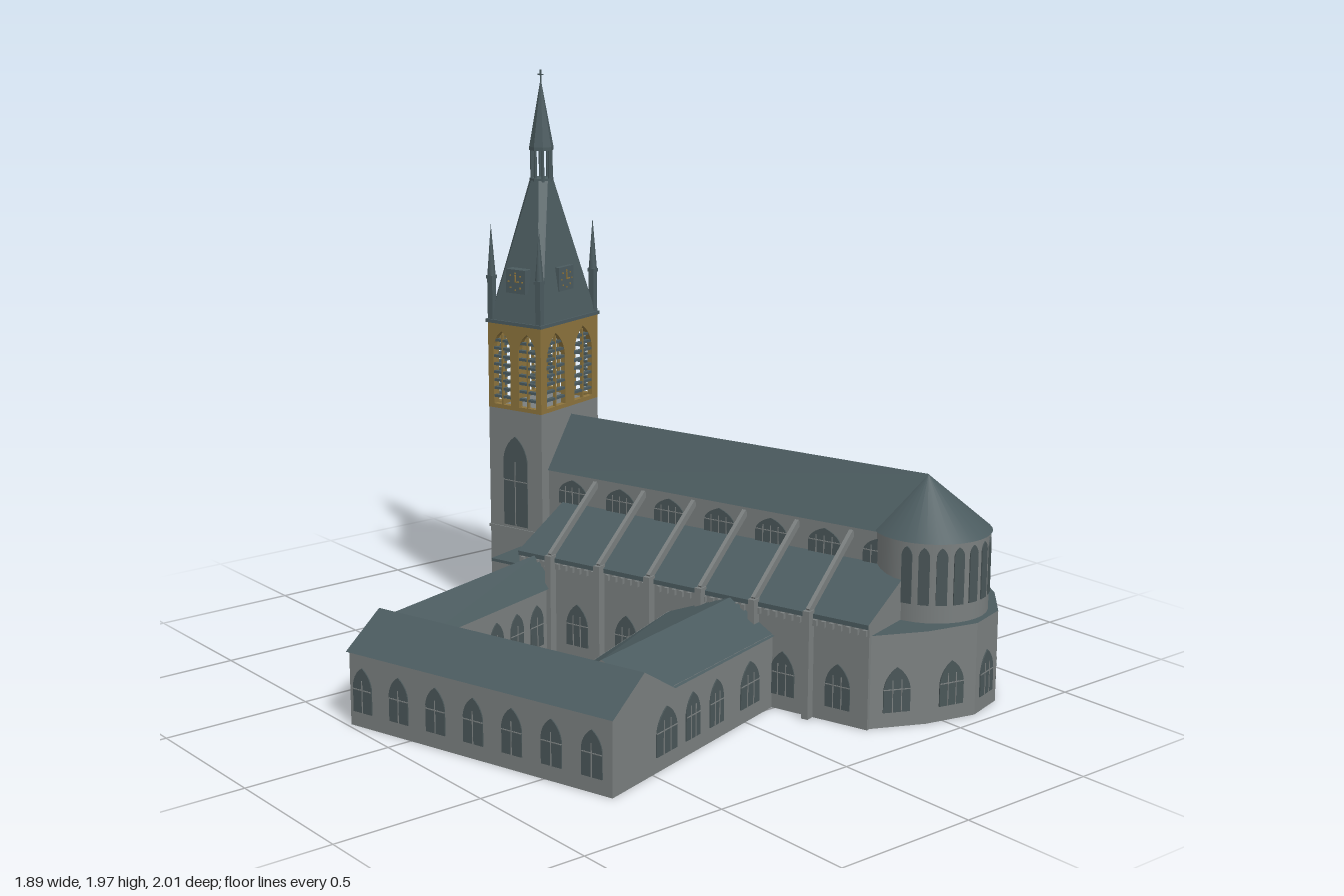
import * as THREE from 'three';

const mat = (name, color) => {
  const m = new THREE.MeshStandardMaterial({ color });
  m.name = name;
  return m;
};

export function createModel() {
  const stone = mat('stone', 0x7a7f7f), slate = mat('slate', 0x4b5b5f);
  const glass = mat('window glass', 0x4a5658), gold = mat('ochre stone', 0x8c733c);
  const root = new THREE.Group();
  root.name = 'church';
  // Local axes: x runs along the nave to the apse, z towards the cloister
  const church = new THREE.Group();
  church.name = 'churchAndCloister';
  church.rotation.y = 0.286;
  root.add(church);

  const add = (name, geo, m, x = 0, y = 0, z = 0, parent = church) => {
    const mesh = new THREE.Mesh(geo, m);
    mesh.name = name;
    mesh.position.set(x, y, z);
    parent.add(mesh);
    return mesh;
  };
  // Box given by its limits
  const block = (name, m, x0, x1, y0, y1, z0, z1, parent = church) =>
    add(name, new THREE.BoxGeometry(x1 - x0, y1 - y0, z1 - z0), m,
      (x0 + x1) / 2, (y0 + y1) / 2, (z0 + z1) / 2, parent);
  const poly = pts => new THREE.Shape(pts.map(p => new THREE.Vector2(...p)));
  const extrude = (shape, depth) =>
    new THREE.ExtrudeGeometry(shape, { depth, bevelEnabled: false, curveSegments: 5 });

  // Pointed arch outline, used for windows and openings
  const arch = (w, h, Type = THREE.Shape, x = 0, y = 0) => {
    const s = new Type(), r = w / 2, k = Math.max(h - w * 0.8, h * 0.5);
    s.moveTo(x - r, y);
    s.lineTo(x + r, y);
    s.lineTo(x + r, y + k);
    s.quadraticCurveTo(x + r * 0.85, y + k + (h - k) * 0.65, x, y + h);
    s.quadraticCurveTo(x - r * 0.85, y + k + (h - k) * 0.65, x - r, y + k);
    return s;
  };
  const windowAt = (x, y, z, angle, w, h, mullions = 1) => {
    const g = new THREE.Group();
    g.name = 'window';
    g.position.set(x, y, z);
    g.rotation.y = angle;
    church.add(g);
    add('pane', extrude(arch(w, h), 0.004), glass, 0, 0, 0, g);
    for (let i = 1; i <= mullions; i++) {
      const mx = w * (i / (mullions + 1) - 0.5);
      block('mullion', stone, mx - 0.0015, mx + 0.0015, 0, h * 0.72, 0, 0.006, g);
    }
    if (mullions) block('transom', stone, -w / 2, w / 2, h * 0.5, h * 0.5 + 0.003, 0, 0.006, g);
  };
  const E = Math.PI / 2, N = Math.PI, W = -E, S = 0;

  // Nave
  const C = -0.4, navH = 0.135, aisH = 0.391, x0 = -0.515, x1 = 0.868;
  block('naveWalls', stone, -0.577, 0.877, 0, 0.577, C - navH, C + navH);
  add('naveRoof', extrude(poly([[-0.142, 0.572], [0.142, 0.572], [0, 0.75]]), 1.435).rotateY(E),
    slate, -0.577, 0, C);

  // Aisles with lean-to roofs, clerestory, flying buttresses
  block('aisleWalls', stone, x0, x1, 0, 0.335, C - aisH, C + aisH);
  for (const s of [1, -1]) {
    const pts = [[-s * 0.13, 0.335], [-s * 0.397, 0.335], [-s * 0.397, 0.35], [-s * 0.13, 0.468]];
    add('aisleRoof', extrude(poly(pts), x1 - x0).rotateY(E), [stone, slate], x0, 0, C);
    const face = s > 0 ? S : N, wall = C + s * aisH;
    for (let i = 0; i < 7; i++) {
      const x = -0.471 + 0.205 * i;
      windowAt(x, 0.46, C + s * navH, face, 0.12, 0.09, 3);
      windowAt(x, 0.05, wall, face, 0.09, 0.15, 2);
    }
    // Corbels under the eaves
    for (let x = x0 + 0.02; x < x1; x += 0.03)
      add('corbel', new THREE.BoxGeometry(0.014, 0.02, 0.012), stone, x, 0.322, wall + s * 0.005);
    for (let i = 0; i < 6; i++) {
      const x = -0.369 + 0.205 * i, dz = 0.27, dy = 0.195;
      add('pier', new THREE.BoxGeometry(0.024, 0.362, 0.034), stone, x, 0.181, wall + s * 0.014);
      const f = add('flyingButtress', new THREE.BoxGeometry(0.014, 0.024, Math.hypot(dz, dy)),
        stone, x, 0.456, C + s * (navH + dz / 2));
      f.rotation.x = s * Math.atan2(dy, dz);
    }
  }

  // Ambulatory with its faceted outer wall
  const amb = [[0.86, C - 0.386], [0.994, -0.635], [1.085, -0.475], [1.085, -0.325],
    [0.994, -0.165], [0.86, C + 0.386]];
  add('ambulatory', extrude(poly(amb.map(([x, z]) => [x, -z])), 0.31).rotateX(-E), [slate, stone]);
  for (let i = 0; i < 5; i++) {
    const [a, b] = [amb[i], amb[i + 1]];
    windowAt((a[0] + b[0]) / 2, 0.05, (a[1] + b[1]) / 2,
      Math.atan2(b[1] - a[1], a[0] - b[0]), 0.09, 0.15, 2);
  }

  // Round apse
  add('apseWall', new THREE.CylinderGeometry(0.187, 0.187, 0.577, 32), stone, 0.877, 0.2885, C);
  const cone = new THREE.ConeGeometry(0.194, 0.175, 32);
  const cp = cone.attributes.position;
  for (let i = 0; i < cp.count; i++) if (cp.getY(i) > 0) cp.setX(i, cp.getX(i) - 0.02);
  add('apseRoof', cone, slate, 0.877, 0.6615, C);
  for (let i = 0; i < 11; i++) {
    const a = E + (i - 5) * 0.305;
    windowAt(0.877 + 0.186 * Math.sin(a), 0.37, C + 0.186 * Math.cos(a), a, 0.036, 0.19, 0);
  }

  // Low western annexes
  block('westPorch', stone, -0.6, x0, 0, 0.31, -0.62, -0.18);
  block('porchRoof', slate, -0.6, x0, 0.31, 0.318, -0.62, -0.18);
  block('annexWalls', stone, -0.615, -0.49, 0, 0.3, -0.145, 0.015);
  block('annexRoof', slate, -0.617, -0.488, 0.3, 0.31, -0.147, 0.017);

  // Cloister wings around an open court
  const gable = (w, eave, ridge, len) => extrude(poly([[-w / 2, eave], [w / 2, eave], [0, ridge]]), len);
  block('southWing', stone, -0.505, 0.515, 0, 0.25, 0.575, 0.88);
  add('southWingRoof', gable(0.325, 0.245, 0.345, 1.035).rotateY(E), [stone, slate], -0.512, 0, 0.726);
  block('westWing', stone, -0.515, -0.375, 0, 0.25, -0.02, 0.6);
  add('westWingRoof', gable(0.16, 0.245, 0.345, 0.76), [stone, slate], -0.445, 0, -0.03);
  // The east wing widens towards the church
  const skew = geo => {
    const p = geo.attributes.position;
    for (let i = 0; i < p.count; i++)
      if (p.getX(i) < -0.1) p.setX(i, p.getX(i) - 0.085 * (1 - p.getZ(i) / 0.62));
    geo.computeVertexNormals();
    return geo;
  };
  add('eastWing', skew(extrude(poly([[-0.16, 0], [0.16, 0], [0.16, 0.25], [-0.16, 0.25]]), 0.62)),
    stone, 0.355, 0, -0.02);
  add('eastWingRoof', skew(gable(0.335, 0.245, 0.345, 0.74)), [stone, slate], 0.355, 0, -0.03);
  for (let i = 0; i < 7; i++) windowAt(-0.452 + 0.149 * i, 0.05, 0.88, S, 0.076, 0.15, 1);
  for (let i = 0; i < 5; i++) {
    windowAt(-0.515, 0.05, 0.07 + 0.172 * i, W, 0.11, 0.15, 2);
    windowAt(-0.375, 0.05, 0.08 + 0.11 * i, E, 0.07, 0.15, 1);
    windowAt(-0.31 + 0.11 * i, 0.05, 0.575, N, 0.07, 0.15, 1);
    windowAt(0.128 + 0.015 * i, 0.05, 0.08 + 0.11 * i, W + 0.137, 0.07, 0.15, 1);
  }
  for (const [z, w] of [[0.128, 0.11], [0.323, 0.076], [0.457, 0.076], [0.6, 0.11]])
    windowAt(0.515, 0.05, z, E, w, 0.15, 2);

  // Tower shaft
  const tx = -0.694, tz = -0.393, hx = 0.117, hz = 0.169;
  block('towerShaft', stone, tx - hx, tx + hx, 0, 0.78, tz - hz, tz + hz);
  block('stringCourse', stone, tx - hx - 0.004, tx + hx + 0.004, 0.335, 0.345, tz - hz - 0.004, tz + hz + 0.004);
  for (const [x, z, a, w] of [[0, hz, S, 0.105], [0, -hz, N, 0.105], [-hx, 0, W, 0.14]]) {
    windowAt(tx + x, 0.355, tz + z, a, w, 0.33, 1);
    windowAt(tx + x, 0.04, tz + z, a, w * 1.15, 0.16, 1);
  }

  // Open belfry with louvres, and a clock dormer above each side
  for (const [a, half, out] of [[S, hx, hz], [N, hx, hz], [E, hz, hx], [W, hz, hx]]) {
    const side = new THREE.Group();
    side.name = 'belfrySide';
    side.position.set(tx, 0, tz);
    side.rotation.y = a;
    church.add(side);
    const w = half * 0.64, off = half * 0.48;
    const wall = poly([[-half, 0.78], [half, 0.78], [half, 1.09], [-half, 1.09]]);
    for (const s of [-1, 1]) {
      wall.holes.push(arch(w, 0.265, THREE.Path, s * off, 0.795));
      for (let i = 0; i < 8; i++)
        block('louvre', slate, s * off - w / 2, s * off + w / 2, 0.818 + i * 0.029,
          0.827 + i * 0.029, out - 0.018, out - 0.002, side);
      block('belfryMullion', gold, s * off - 0.003, s * off + 0.003, 0.79, 1.05, out - 0.012, out - 0.001, side);
    }
    add('belfryWall', extrude(wall, 0.02), gold, 0, 0, out - 0.02, side);
    block('clockDormer', slate, -0.042, 0.042, 1.2, 1.285, out - 0.09, out - 0.012, side);
    block('hourHand', gold, -0.002, 0.016, 1.24, 1.244, out - 0.012, out - 0.008, side);
    block('minuteHand', gold, -0.002, 0.002, 1.24, 1.266, out - 0.012, out - 0.008, side);
    for (let i = 0; i < 8; i++)
      add('hourMark', new THREE.BoxGeometry(0.005, 0.005, 0.004), gold,
        0.03 * Math.cos(i * E / 2), 1.242 + 0.03 * Math.sin(i * E / 2), out - 0.01, side);
  }
  block('towerCornice', slate, tx - hx - 0.006, tx + hx + 0.006, 1.088, 1.1, tz - hz - 0.006, tz + hz + 0.006);

  // Tapering roof: a rectangle drawn in to an octagon
  const oct = (a, b, c, y) => [[a, c - b], [a - c, -b], [c - a, -b], [-a, c - b],
    [-a, b - c], [c - a, b], [a - c, b], [a, b - c]].map(([x, z]) => [x, y, z]);
  const low = oct(hx, hz, 0.012, 1.1), high = oct(0.04, 0.04, 0.0234, 1.585), verts = [];
  for (let i = 0; i < 8; i++) {
    const j = (i + 1) % 8;
    verts.push(low[i], low[j], high[j], low[i], high[j], high[i]);
  }
  const broach = new THREE.BufferGeometry();
  broach.setAttribute('position', new THREE.Float32BufferAttribute(verts.flat(), 3));
  broach.computeVertexNormals();
  add('towerRoof', broach, slate, tx, 0, tz);

  // Lantern, spire and cross
  const ring = (name, r0, r1, y0, y1) => add(name,
    new THREE.CylinderGeometry(r1, r0, y1 - y0, 8).toNonIndexed(), slate, tx, (y0 + y1) / 2, tz)
    .geometry.computeVertexNormals();
  ring('lanternFloor', 0.043, 0.043, 1.58, 1.592);
  ring('lanternHead', 0.043, 0.043, 1.69, 1.702);
  ring('spire', 0.043, 0.001, 1.702, 1.935);
  for (let i = 0; i < 8; i++)
    add('lanternPost', new THREE.CylinderGeometry(0.005, 0.005, 0.1, 6), slate,
      tx + 0.035 * Math.cos(i * E / 2), 1.641, tz + 0.035 * Math.sin(i * E / 2));
  block('crossPost', slate, tx - 0.002, tx + 0.002, 1.925, 1.97, tz - 0.002, tz + 0.002);
  block('crossArm', slate, tx - 0.011, tx + 0.011, 1.951, 1.955, tz - 0.002, tz + 0.002);

  // Corner pinnacles
  for (const sx of [-1, 1]) for (const sz of [-1, 1]) {
    const x = tx + sx * (hx - 0.011), z = tz + sz * (hz - 0.011);
    add('pinnacleShaft', new THREE.BoxGeometry(0.022, 0.16, 0.022), slate, x, 1.17, z);
    add('pinnacleCap', new THREE.BoxGeometry(0.028, 0.012, 0.028), slate, x, 1.25, z);
    add('pinnacleSpire', new THREE.ConeGeometry(0.015, 0.185, 6), slate, x, 1.347, z);
  }
  return root;
}
